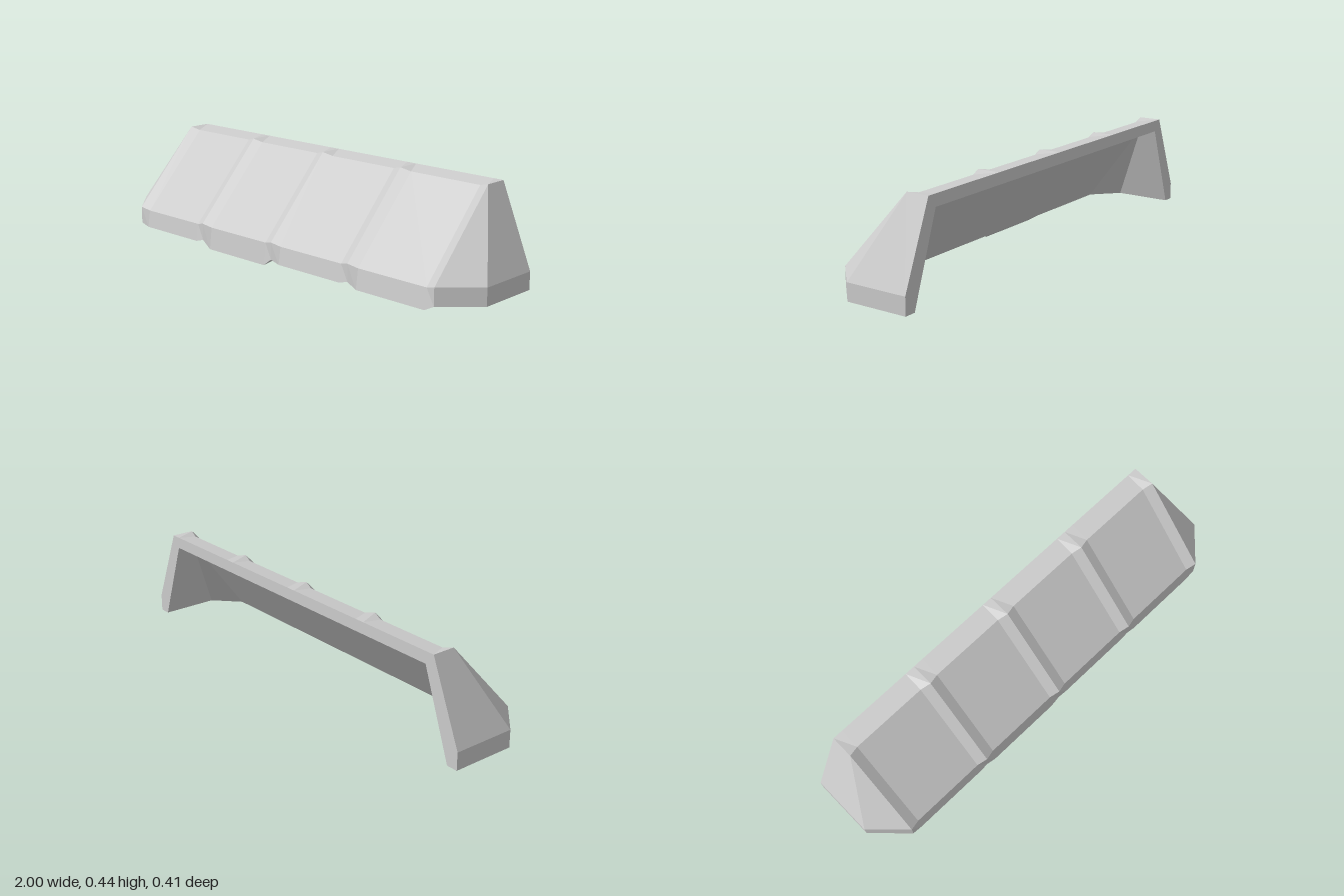
import * as THREE from 'three';

const BACK = -0.207, TOP = 0.445, EAVE = 0.108, RIM = 0.033;
const INNER_TOP = 0.395, INNER_RIDGE = -0.13;

// Cross-section of the front slope at x: down the outside, back up the inside.
// drop is how far the slope sinks between ribs, low is the skirt's lower edge.
function frontSection(x, drop, low) {
  return [
    [x, TOP, BACK],
    [x, TOP - drop, -0.107 - drop],
    [x, EAVE - drop, 0.207 - drop],
    [x, low, 0.207],
    [x * 0.975, RIM, 0.15],
    [x * 0.953, INNER_TOP, INNER_RIDGE],
    [x * 0.953, INNER_TOP, BACK],
  ];
}

// Cross-section of a slanted end: at the back edge or at the front corner.
function endSection(side, atBack) {
  const z = atBack ? BACK : 0.07;
  return [
    [side * 0.86, TOP, BACK],
    [side * 0.86, TOP, atBack ? BACK : -0.107],
    [side, EAVE, z],
    [side, RIM, z],
    [side * 0.95, RIM, atBack ? BACK : 0.045],
    [side * 0.82, INNER_TOP, atBack ? BACK : INNER_RIDGE],
    [side * 0.82, INNER_TOP, BACK],
  ];
}

export function createModel() {
  // Stations run round the awning from the back of one end to the other
  const sections = [endSection(-1, true), endSection(-1, false)];
  const seams = [-0.86, -0.43, 0, 0.43, 0.86];
  const skirtLows = [0.02, 0, 0.02, 0.01];
  seams.forEach((x, i) => {
    sections.push(frontSection(x, 0, RIM));
    if (i < skirtLows.length) {
      sections.push(frontSection(x + 0.045, 0.012, skirtLows[i]));
      sections.push(frontSection(seams[i + 1] - 0.045, 0.012, skirtLows[i]));
    }
  });
  sections.push(endSection(1, false), endSection(1, true));

  const positions = [];
  const va = new THREE.Vector3(), vb = new THREE.Vector3(), vc = new THREE.Vector3();
  const tri = (a, b, c) => {
    va.fromArray(a); vb.fromArray(b).sub(va); vc.fromArray(c).sub(va);
    if (vb.cross(vc).length() > 1e-7) positions.push(...a, ...b, ...c);
  };
  const quad = (a, b, c, d) => { tri(a, b, c); tri(a, c, d); };

  // Closed shell
  for (let i = 0; i < sections.length - 1; i++) {
    const s = sections[i], t = sections[i + 1];
    for (let r = 0; r < s.length; r++) {
      const n = (r + 1) % s.length;
      quad(s[r], s[n], t[n], t[r]);
    }
  }

  // Back faces of the two ends
  const first = sections[0], last = sections[sections.length - 1];
  quad(first[5], first[4], first[2], first[0]);
  tri(first[4], first[3], first[2]);
  quad(last[0], last[2], last[4], last[5]);
  tri(last[2], last[3], last[4]);

  const geometry = new THREE.BufferGeometry();
  geometry.setAttribute('position', new THREE.Float32BufferAttribute(positions, 3));
  geometry.computeVertexNormals();

  const awning = new THREE.Mesh(
    geometry,
    new THREE.MeshStandardMaterial({ color: 0xcccccc, flatShading: true })
  );
  awning.name = 'awningShell';
  const group = new THREE.Group();
  group.name = 'awning';
  group.add(awning);
  return group;
}
